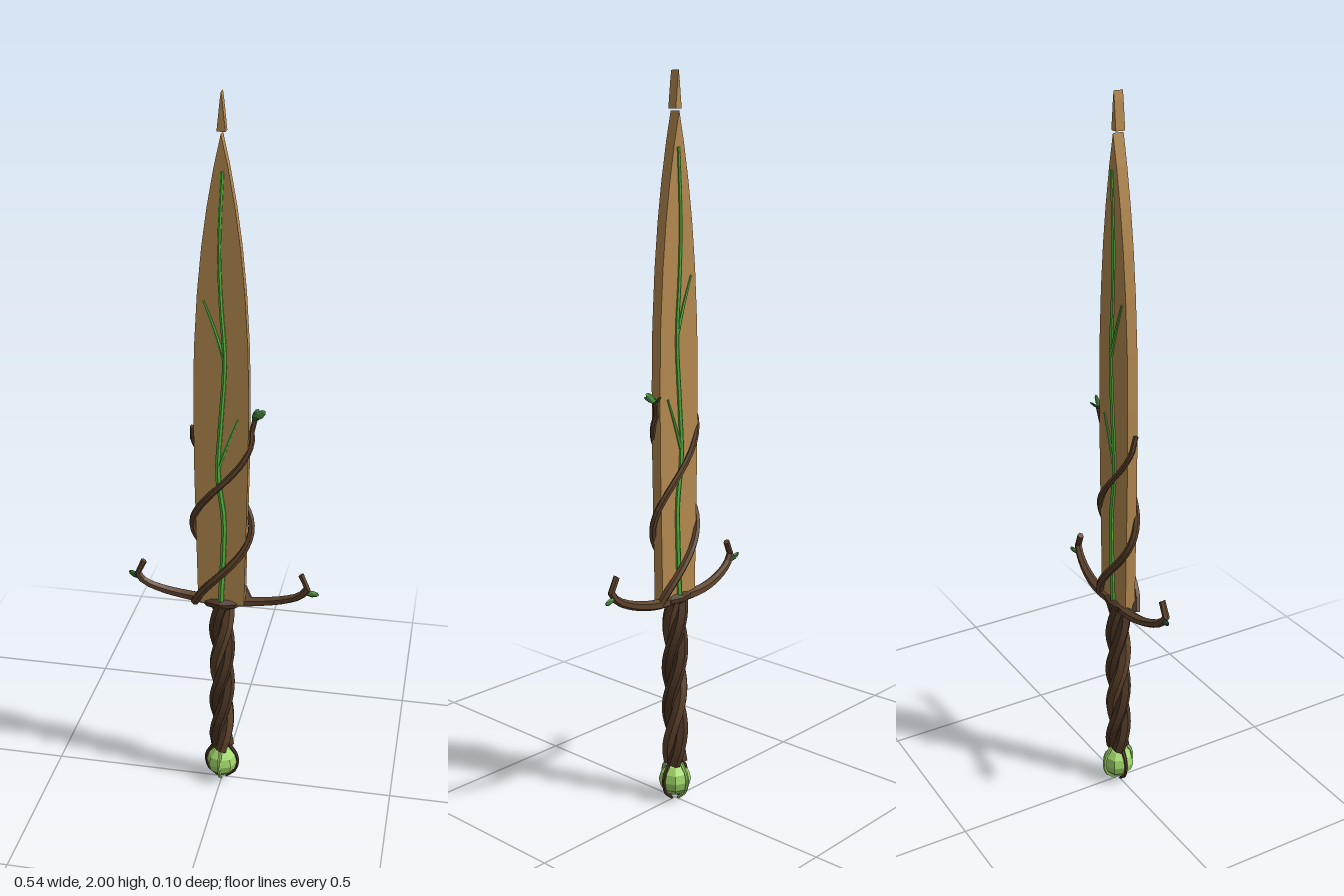
import * as THREE from 'three';

const V = (x, y, z) => new THREE.Vector3(x, y, z);
const mat = (color) => new THREE.MeshStandardMaterial({ color, flatShading: true });

const wood = mat(0xb58a50);
const bark = mat(0x5e432c);
const darkBark = mat(0x4c3524);
const vein = mat(0x55b53c);
const leafDark = mat(0x2f6b35);
const leafLight = mat(0x4c8f42);
const gem = mat(0x9fd568);

function add(parent, name, geometry, material) {
  const mesh = new THREE.Mesh(geometry, material);
  mesh.name = name;
  parent.add(mesh);
  return mesh;
}

// Low-poly tube that tapers from r0 to r1, with flat caps at both ends
function branch(points, r0, r1, segments, sides = 6) {
  const curve = new THREE.CatmullRomCurve3(points);
  const geo = new THREE.TubeGeometry(curve, segments, 1, sides, false);
  const pos = geo.attributes.position;
  const p = V(0, 0, 0);
  for (let i = 0; i <= segments; i++) {
    const from = curve.getPointAt(i / segments);
    const cap = i === 0 || i === segments;
    const at = i === 1 ? 0 : i === segments - 1 ? 1 : i / segments;
    const to = curve.getPointAt(at);
    const r = cap ? 0 : r0 + (r1 - r0) * at;
    for (let j = 0; j <= sides; j++) {
      const k = i * (sides + 1) + j;
      p.fromBufferAttribute(pos, k).sub(from).multiplyScalar(r).add(to);
      pos.setXYZ(k, p.x, p.y, p.z);
    }
  }
  return geo;
}

// Flat faceted leaf, growing from a base point along a direction
function leaf(parent, name, base, dir, length, material) {
  const geo = new THREE.SphereGeometry(0.5, 6, 4);
  geo.translate(0, 0.5, 0);
  geo.scale(length * 0.5, length, length * 0.2);
  const mesh = add(parent, name, geo, material);
  mesh.position.copy(base);
  mesh.quaternion.setFromUnitVectors(V(0, 1, 0), dir.clone().normalize());
  return mesh;
}

// Slab cut from a symmetric outline of [half width, height] pairs
function slab(outline, depth) {
  const right = outline.map(([x, y]) => new THREE.Vector2(x, y));
  const left = outline.filter(([x]) => x > 0).reverse().map(([x, y]) => new THREE.Vector2(-x, y));
  const geo = new THREE.ExtrudeGeometry(new THREE.Shape([...right, ...left]), { depth, bevelEnabled: false });
  geo.translate(0, 0, -depth / 2);
  return geo;
}

export function createModel() {
  const model = new THREE.Group();
  model.name = 'woodenSword';

  // Blade and its separate tip
  add(model, 'blade', slab([
    [0.065, 0.6], [0.069, 0.8], [0.073, 1.0], [0.074, 1.2], [0.071, 1.35],
    [0.062, 1.5], [0.05, 1.62], [0.036, 1.72], [0.018, 1.82], [0, 1.9],
  ], 0.03), wood);
  add(model, 'bladeTip', slab([[0.011, 1.905], [0.003, 1.98], [0, 2.0]], 0.026), wood);

  // Green veins on both faces
  for (const s of [1, -1]) {
    const face = new THREE.Group();
    face.name = s > 0 ? 'frontVeins' : 'backVeins';
    model.add(face);
    const path = (list) => list.map(([x, y]) => V(x, y, s * 0.016));
    add(face, 'mainVein', branch(path([
      [0, 0.61], [0.006, 0.75], [0.008, 0.87], [-0.008, 1.0], [0, 1.15],
      [0.01, 1.32], [0, 1.48], [-0.004, 1.62], [0.004, 1.81],
    ]), 0.009, 0.005, 26), vein);
    add(face, 'upperVein', branch(path([[0.008, 1.33], [-0.018, 1.41], [-0.045, 1.48]]), 0.006, 0.003, 6), vein);
    add(face, 'lowerVein', branch(path([[-0.006, 1.02], [0.018, 1.09], [0.045, 1.16]]), 0.006, 0.003, 6), vein);
  }

  // Two vines coiling up the lower blade
  for (const [name, phase] of [['firstVine', 0], ['secondVine', Math.PI]]) {
    const points = [];
    for (let i = 0; i <= 22; i++) {
      const y = 0.6 + 0.53 * i / 22;
      const t = (y - 0.7) / 0.54 * Math.PI * 2 + phase;
      points.push(V(0.082 * Math.sin(t), y, (0.036 - 0.009 * i / 22) * Math.cos(t)));
    }
    if (phase) points.push(V(0.088, 1.16, -0.01));
    add(model, name, branch(points, 0.012, 0.007, 32), bark);
  }
  const sprout = V(0.082, 1.155, -0.008);
  leaf(model, 'vineLeaf', sprout, V(0.7, 0.6, 0.1), 0.045, leafLight);
  leaf(model, 'vineLeaf', sprout, V(0.25, 0.5, -0.6), 0.035, leafDark);
  leaf(model, 'vineLeaf', sprout, V(0.4, 0.35, 0.6), 0.035, leafDark);

  // Guard: a knot and two curled arms, each with a leaf
  const knot = add(model, 'guardKnot', new THREE.SphereGeometry(1, 8, 5), darkBark);
  knot.scale.set(0.06, 0.018, 0.034);
  knot.position.y = 0.6;
  for (const s of [1, -1]) {
    add(model, s > 0 ? 'leftGuardArm' : 'rightGuardArm', branch([
      V(-0.02 * s, 0.598, 0), V(0.09 * s, 0.603, -0.012), V(0.17 * s, 0.62, -0.006),
      V(0.225 * s, 0.647, 0.003), V(0.242 * s, 0.678, 0.006), V(0.222 * s, 0.71, 0.004),
    ], 0.018, 0.009, 14), bark);
    const up = s > 0 ? -0.1 : 0.5;
    leaf(model, 'guardLeaf', V(0.235 * s, 0.652, 0), V(s, up, -0.1), 0.038, s > 0 ? leafLight : leafDark);
  }

  // Grip of three twisted roots
  for (let k = 0; k < 3; k++) {
    const points = [];
    for (let i = 0; i <= 24; i++) {
      const t = i / 24 * Math.PI * 2.7 + k * Math.PI * 2 / 3;
      points.push(V(0.018 * Math.sin(t), 0.11 + 0.49 * i / 24, 0.018 * Math.cos(t)));
    }
    add(model, 'gripRoot', branch(points, 0.019, 0.019, 28), k ? darkBark : bark);
  }

  // Pommel gem held by thin root claws
  const stone = add(model, 'pommelGem', new THREE.SphereGeometry(0.046, 8, 6), gem);
  stone.position.y = 0.06;
  for (let k = 0; k < 4; k++) {
    const a = k * Math.PI / 2 + Math.PI / 2;
    const ring = (r, y) => V(r * Math.sin(a), y, r * Math.cos(a));
    add(model, 'pommelClaw', branch(
      [ring(0.024, 0.115), ring(0.041, 0.09), ring(0.047, 0.06), ring(0.036, 0.025), ring(0.012, 0.005)],
      0.006, 0.004, 8, 5), k % 2 ? gem : darkBark);
  }

  return model;
}
